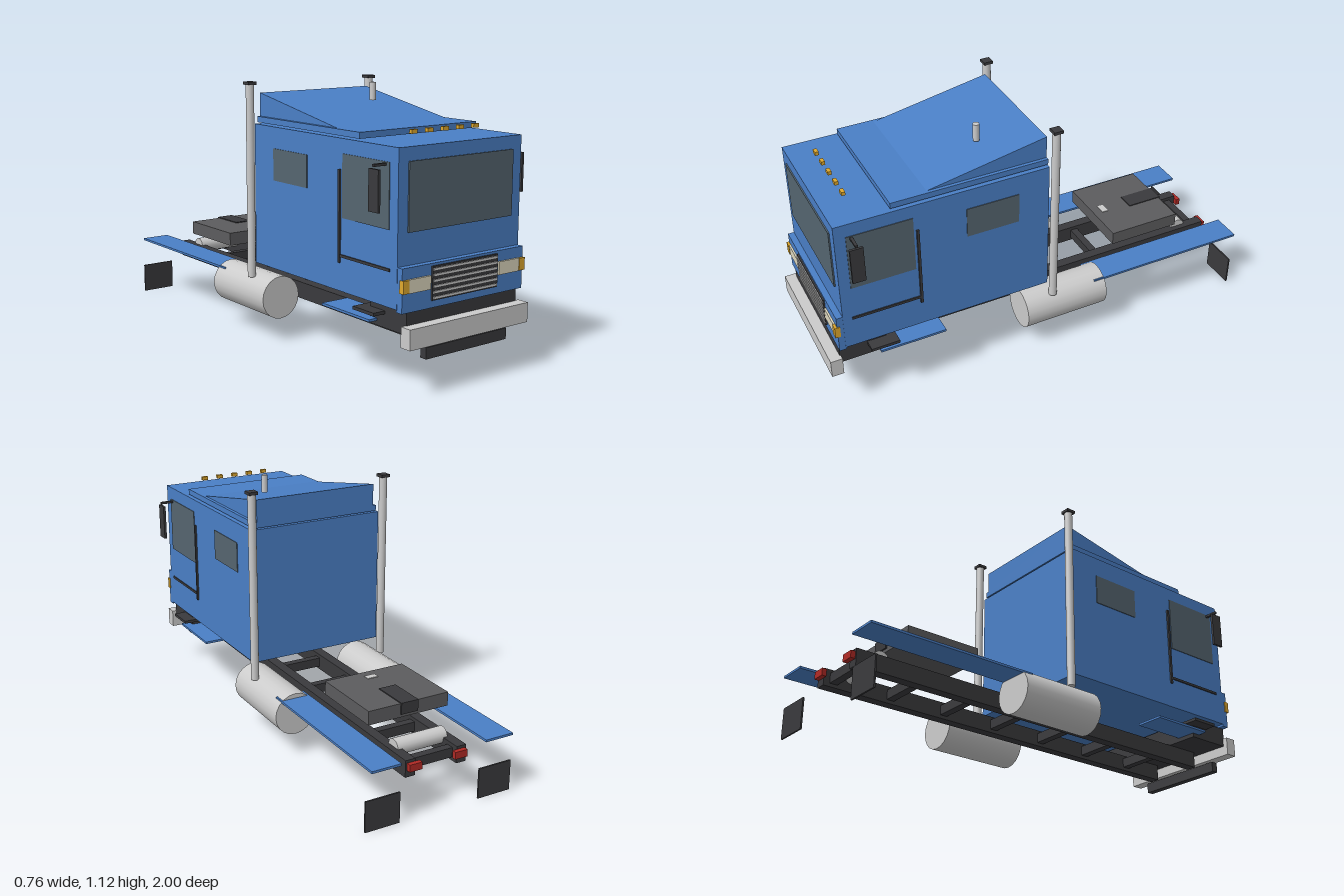
import * as THREE from 'three';

export function createModel() {
  const truck = new THREE.Group();
  truck.name = 'cabOverTruck';

  const mat = (color) => new THREE.MeshStandardMaterial({ color });
  const blue = mat(0x4a7fc6), dark = mat(0x3a3a3d), silver = mat(0xcccccc), glass = mat(0x556570);
  const steel = mat(0x5c5c5e), amber = mat(0xe0a92e), cream = mat(0xded8bf), red = mat(0xb02a25);

  const add = (name, geometry, material) => {
    const mesh = new THREE.Mesh(geometry, material);
    mesh.name = name;
    truck.add(mesh);
    return mesh;
  };
  // Box given by its extents on each axis
  const box = (name, material, [x0, x1], [y0, y1], [z0, z1]) =>
    add(name, new THREE.BoxGeometry(x1 - x0, y1 - y0, z1 - z0), material)
      .position.set((x0 + x1) / 2, (y0 + y1) / 2, (z0 + z1) / 2);
  // The same box on both sides of the truck
  const pair = (name, material, [x0, x1], y, z) => {
    box(name + 'Left', material, [x0, x1], y, z);
    box(name + 'Right', material, [-x1, -x0], y, z);
  };
  const cylinder = (name, material, r, length, sides, x, y, z) => {
    const mesh = add(name, new THREE.CylinderGeometry(r, r, length, sides), material);
    mesh.position.set(x, y, z);
    return mesh;
  };

  // Chassis
  pair('frameRail', dark, [0.098, 0.143], [0.165, 0.238], [-0.945, 0.905]);
  for (let i = 0; i < 7; i++) {
    const z = -0.9 + i * 0.265;
    box('crossMember', dark, [-0.1, 0.1], [0.18, 0.222], [z - 0.017, z + 0.017]);
  }
  cylinder('airTank', silver, 0.035, 0.235, 16, 0, 0.235, -0.82).rotation.z = Math.PI / 2;

  // Coupling plate
  box('couplingPlate', steel, [-0.19, 0.19], [0.316, 0.376], [-0.75, -0.41]);
  box('couplingSlot', dark, [-0.04, 0.04], [0.33, 0.38], [-0.757, -0.59]);
  box('couplingPin', silver, [-0.025, 0.025], [0.35, 0.379], [-0.48, -0.45]);

  // Cab
  box('cab', blue, [-0.318, 0.318], [0.335, 0.94], [0, 0.93]);
  box('nosePanel', blue, [-0.317, 0.317], [0.325, 0.497], [0.925, 0.957]);
  box('cabUnderbody', dark, [-0.29, 0.29], [0.238, 0.325], [0.745, 0.953]);
  box('windshield', glass, [-0.27, 0.27], [0.622, 0.887], [0.92, 0.936]);
  pair('doorWindow', glass, [0.31, 0.321], [0.63, 0.882], [0.605, 0.883]);
  pair('sleeperWindow', glass, [0.31, 0.321], [0.715, 0.85], [0.14, 0.375]);
  pair('grabRail', dark, [0.316, 0.326], [0.45, 0.82], [0.583, 0.594]);
  pair('doorTrim', dark, [0.315, 0.323], [0.473, 0.484], [0.594, 0.89]);
  pair('step', dark, [0.26, 0.346], [0.292, 0.305], [0.705, 0.83]);

  // Roof platform and wind deflector
  box('roofPlatform', blue, [-0.305, 0.305], [0.946, 0.971], [0, 0.69]);
  const wedge = new THREE.Shape([[0, 0.971], [0, 1.07], [-0.53, 0.971]].map((p) => new THREE.Vector2(...p)));
  const deflector = new THREE.ExtrudeGeometry(wedge, { depth: 0.58, bevelEnabled: false });
  deflector.translate(0, 0, -0.29).rotateY(Math.PI / 2);
  add('windDeflector', deflector, blue);
  cylinder('roofHorn', silver, 0.014, 0.077, 14, 0.13, 1.072, 0.24);
  for (let i = -2; i <= 2; i++) {
    box('markerLight', amber, [i * 0.08 - 0.014, i * 0.08 + 0.014], [0.97, 0.986], [0.822, 0.838]);
  }

  // Grille and lights
  box('grille', dark, [-0.172, 0.172], [0.354, 0.487], [0.95, 0.964]);
  for (let i = 0; i < 6; i++) {
    const y = 0.364 + i * 0.0221;
    box('grilleSlat', silver, [-0.168, 0.168], [y - 0.005, y + 0.005], [0.96, 0.968]);
  }
  pair('headlight', cream, [0.18, 0.29], [0.4, 0.453], [0.95, 0.965]);
  pair('turnSignal', amber, [0.29, 0.32], [0.402, 0.452], [0.945, 0.968]);
  pair('tailLight', red, [0.078, 0.136], [0.195, 0.226], [-0.965, -0.945]);

  // Bumper
  box('bumper', silver, [-0.312, 0.312], [0.194, 0.275], [0.948, 1]);
  box('bumperValance', dark, [-0.213, 0.213], [0.137, 0.183], [0.948, 0.98]);

  // Mirrors
  pair('mirrorArm', dark, [0.31, 0.381], [0.868, 0.878], [0.855, 0.867]);
  pair('mirror', dark, [0.369, 0.38], [0.7, 0.86], [0.834, 0.89]);

  // Fenders and mud flaps
  pair('frontFender', blue, [0.2, 0.33], [0.256, 0.266], [0.49, 0.785]);
  pair('rearFender', blue, [0.198, 0.33], [0.256, 0.266], [-1, -0.235]);
  pair('mudFlap', dark, [0.187, 0.344], [0, 0.133], [-0.981, -0.974]);

  // Fuel tanks and exhaust stacks
  for (const side of [1, -1]) {
    cylinder('fuelTank', silver, 0.094, 0.395, 20, side * 0.265, 0.193, -0.088).rotation.x = Math.PI / 2;
    cylinder('exhaustStack', silver, 0.018, 0.838, 16, side * 0.325, 0.687, -0.025);
    const x = side * 0.325;
    box('exhaustCap', dark, [x - 0.021, x + 0.021], [1.104, 1.117], [-0.046, -0.004]);
  }

  return truck;
}
